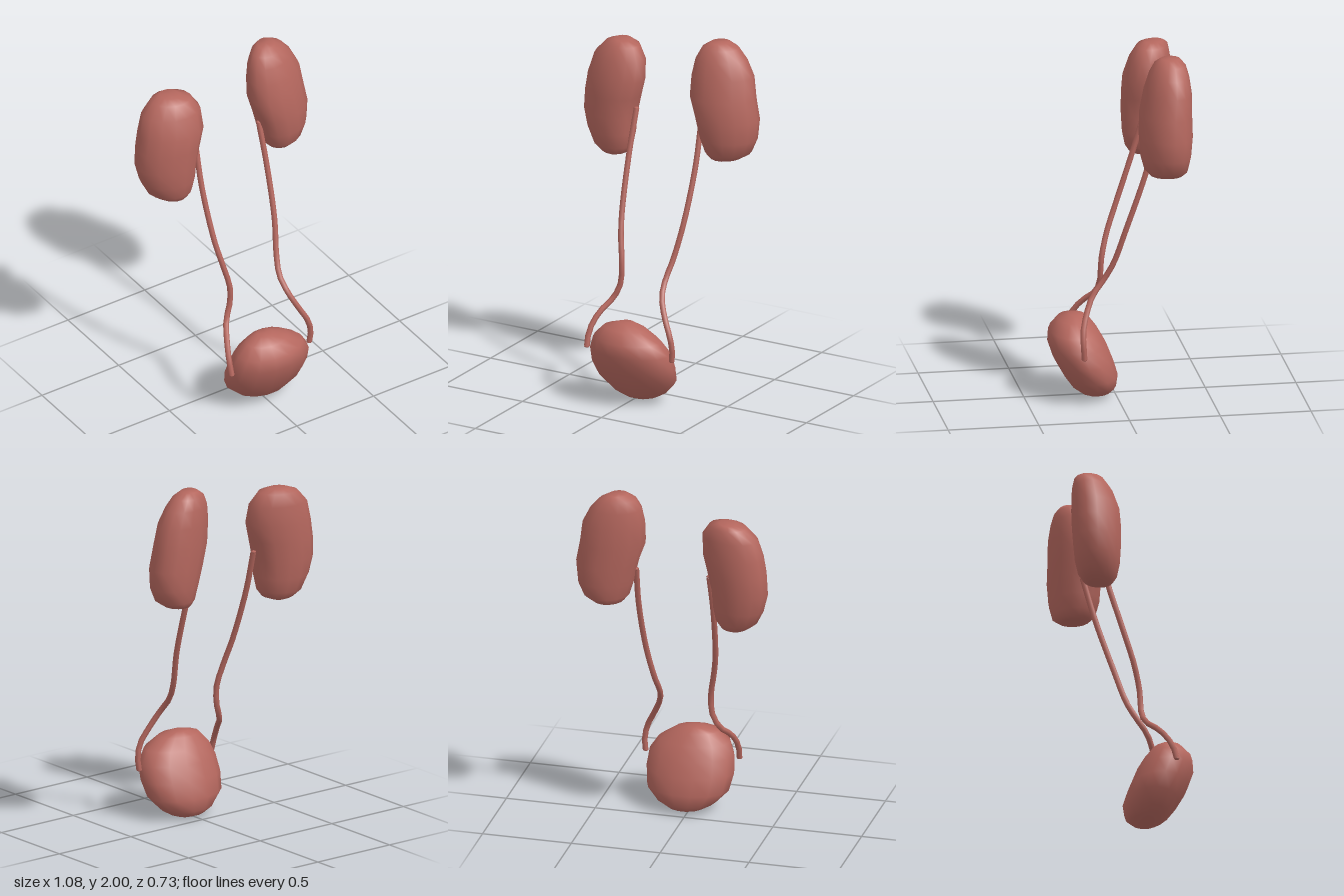
import * as THREE from 'three';

const material = new THREE.MeshStandardMaterial({ color: 0xb5675e, roughness: 0.8 });

// Closed smooth body from stacked oval sections, listed top to bottom as [y, xMin, xMax, zMin, zMax].
// skew slides each section's z along x; dent presses in the side at angle dentAngle near dentY.
function organ(name, rows, { skew = 0, dent = 0, dentAngle = 0, dentY = 0 } = {}) {
  const sides = 14, pos = [], index = [];
  for (const [y, x0, x1, z0, z1] of rows) {
    for (let i = 0; i < sides; i++) {
      const t = (i / sides) * Math.PI * 2;
      const facing = Math.max(0, Math.cos(t - dentAngle)) ** 6;
      const press = 1 - dent * facing * Math.exp(-(((y - dentY) / 0.12) ** 2));
      const dx = ((x1 - x0) / 2) * Math.cos(t) * press;
      const dz = ((z1 - z0) / 2) * Math.sin(t) * 1.02;
      pos.push((x0 + x1) / 2 + dx, y, (z0 + z1) / 2 + dz + skew * dx);
    }
  }
  for (let r = 0; r < rows.length - 1; r++) {
    for (let i = 0; i < sides; i++) {
      const j = (i + 1) % sides, a = r * sides, b = a + sides;
      index.push(a + i, a + j, b + i, a + j, b + j, b + i);
    }
  }
  // poles
  const last = (rows.length - 1) * sides;
  for (const [y, x0, x1, z0, z1] of [rows[0], rows[rows.length - 1]]) pos.push((x0 + x1) / 2, y, (z0 + z1) / 2);
  const top = rows.length * sides;
  for (let i = 0; i < sides; i++) {
    const j = (i + 1) % sides;
    index.push(top, j, i, top + 1, last + i, last + j);
  }
  const geo = new THREE.BufferGeometry();
  geo.setAttribute('position', new THREE.Float32BufferAttribute(pos, 3));
  geo.setIndex(index);
  geo.computeVertexNormals();
  const mesh = new THREE.Mesh(geo, material);
  mesh.name = name;
  return mesh;
}

// Thin winding duct with closed ends
function duct(name, points, radius = 0.016) {
  const group = new THREE.Group();
  group.name = name;
  const curve = new THREE.CatmullRomCurve3(points.map((p) => new THREE.Vector3(...p)));
  group.add(new THREE.Mesh(new THREE.TubeGeometry(curve, 24, radius, 7), material));
  for (const t of [0, 1]) {
    const cap = new THREE.Mesh(new THREE.SphereGeometry(radius, 7, 4), material);
    cap.position.copy(curve.getPoint(t));
    cap.scale.y = 0.5;
    group.add(cap);
  }
  group.children.forEach((m) => { m.name = name + 'Part'; });
  return group;
}

export function createModel() {
  const model = new THREE.Group();
  model.name = 'urinarySystem';

  // Kidneys, the left one higher
  model.add(organ('leftKidney', [
    [2.0, 0.25, 0.35, -0.31, -0.21],
    [1.97, 0.205, 0.405, -0.335, -0.175],
    [1.91, 0.175, 0.455, -0.35, -0.145],
    [1.82, 0.16, 0.5, -0.36, -0.115],
    [1.7, 0.155, 0.517, -0.36, -0.09],
    [1.58, 0.185, 0.54, -0.36, -0.085],
    [1.47, 0.22, 0.53, -0.35, -0.09],
    [1.39, 0.25, 0.495, -0.335, -0.11],
    [1.355, 0.28, 0.44, -0.31, -0.14],
    [1.345, 0.31, 0.4, -0.28, -0.18],
  ], { skew: -0.15, dent: 0.12, dentAngle: Math.PI, dentY: 1.58 }));

  model.add(organ('rightKidney', [
    [1.9, -0.37, -0.27, -0.32, -0.22],
    [1.88, -0.425, -0.21, -0.345, -0.175],
    [1.81, -0.49, -0.165, -0.36, -0.135],
    [1.7, -0.52, -0.16, -0.365, -0.1],
    [1.6, -0.535, -0.18, -0.365, -0.095],
    [1.49, -0.54, -0.2, -0.36, -0.095],
    [1.39, -0.515, -0.215, -0.35, -0.1],
    [1.31, -0.475, -0.235, -0.33, -0.115],
    [1.27, -0.42, -0.265, -0.3, -0.14],
    [1.257, -0.37, -0.3, -0.27, -0.17],
  ], { skew: 0.15, dent: 0.12, dentAngle: 0, dentY: 1.5 }));

  // Bladder, leaning forward at the top
  model.add(organ('bladder', [
    [0.463, -0.06, 0.03, 0.17, 0.25],
    [0.44, -0.14, 0.11, 0.14, 0.31],
    [0.38, -0.2, 0.2, 0.095, 0.36],
    [0.31, -0.228, 0.248, 0.055, 0.365],
    [0.22, -0.235, 0.258, 0.02, 0.335],
    [0.13, -0.215, 0.245, -0.008, 0.285],
    [0.06, -0.145, 0.18, 0, 0.235],
    [0.025, -0.08, 0.12, 0.03, 0.19],
    [0.005, -0.01, 0.06, 0.085, 0.14],
  ]));

  // Ureters from kidneys to bladder
  model.add(duct('leftUreter', [
    [0.215, 1.54, -0.2], [0.22, 1.3, -0.13], [0.205, 1.0, -0.03],
    [0.175, 0.8, 0.035], [0.16, 0.7, 0.09], [0.175, 0.62, 0.15], [0.215, 0.53, 0.19],
    [0.26, 0.44, 0.215], [0.278, 0.36, 0.215], [0.272, 0.29, 0.21],
  ]));
  model.add(duct('rightUreter', [
    [-0.195, 1.54, -0.2], [-0.2, 1.3, -0.13], [-0.185, 1.0, -0.03], [-0.165, 0.87, 0.015],
    [-0.138, 0.72, 0.05], [-0.145, 0.61, 0.055], [-0.18, 0.53, 0.075],
    [-0.225, 0.46, 0.15], [-0.25, 0.37, 0.21], [-0.25, 0.29, 0.235],
  ]));
  return model;
}
